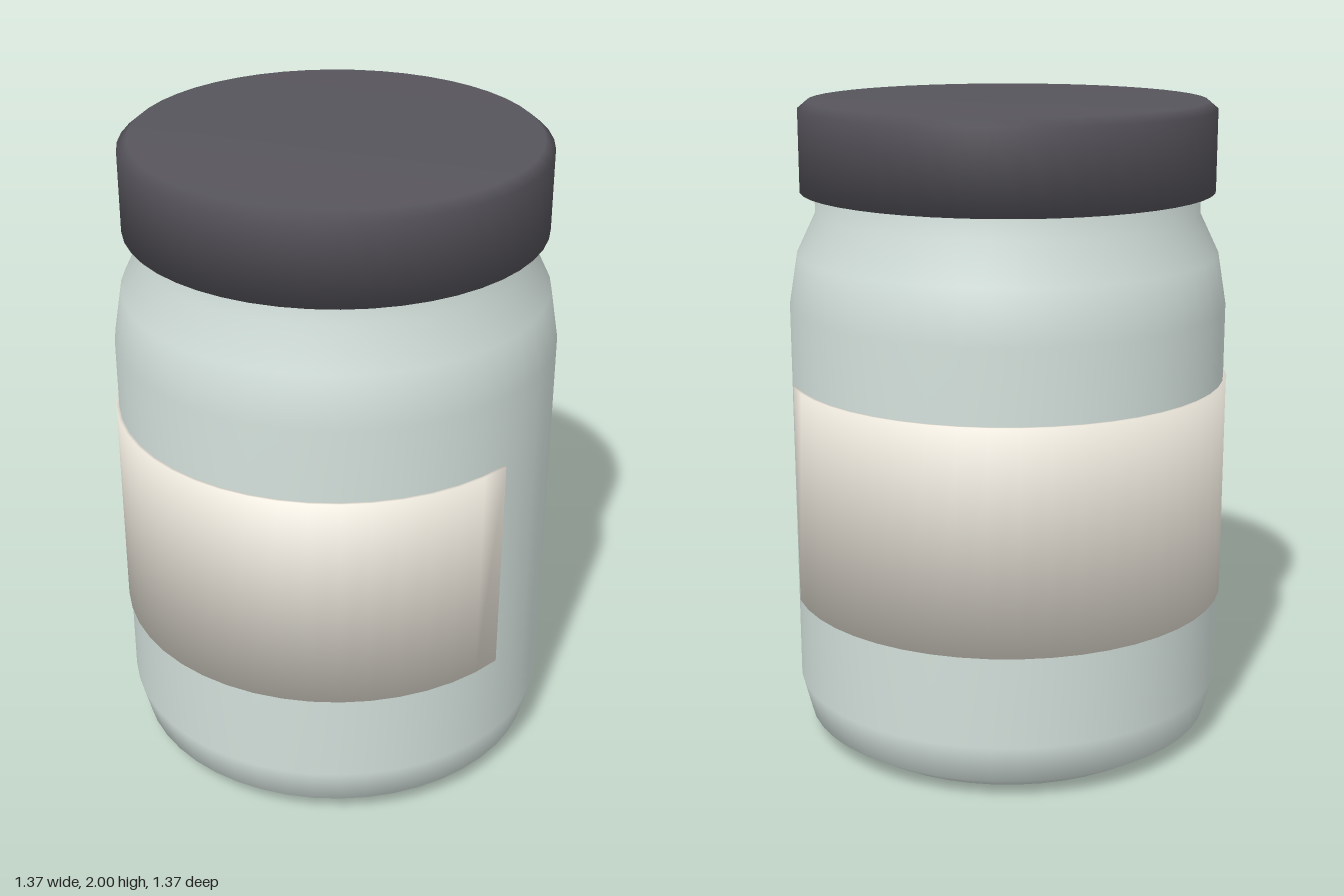
import * as THREE from 'three';

const SEGMENTS = 48;

function lathePart(name, profile, material) {
  const points = profile.map(([r, y]) => new THREE.Vector2(r, y));
  const mesh = new THREE.Mesh(new THREE.LatheGeometry(points, SEGMENTS), material);
  mesh.name = name;
  return mesh;
}

// Thin curved band with softened edges, swept around the y axis from angle a0 to a1
function bandGeometry(rIn, rOut, yLow, yHigh, a0, a1, steps) {
  const section = [[rIn, yLow, -1, -1], [rOut, yLow, 1, -1], [rOut, yHigh, 1, 1], [rIn, yHigh, -1, 1]];
  const positions = [], normals = [], index = [];
  const n = new THREE.Vector3();
  for (let i = 0; i <= steps; i++) {
    const a = a0 + (a1 - a0) * i / steps;
    const c = Math.cos(a), s = Math.sin(a);
    const end = i === 0 ? -1 : i === steps ? 1 : 0;
    for (const [r, y, out, up] of section) {
      positions.push(r * c, y, r * s);
      n.set(out * c - end * s, up, out * s + end * c).normalize();
      normals.push(n.x, n.y, n.z);
    }
    if (i === steps) break;
    for (let j = 0; j < 4; j++) {
      const p = i * 4 + j, q = i * 4 + (j + 1) % 4;
      index.push(p, q, p + 4, q, q + 4, p + 4);
    }
  }
  const e = steps * 4;
  index.push(0, 2, 1, 0, 3, 2, e, e + 1, e + 2, e, e + 2, e + 3);
  const geometry = new THREE.BufferGeometry();
  geometry.setAttribute('position', new THREE.Float32BufferAttribute(positions, 3));
  geometry.setAttribute('normal', new THREE.Float32BufferAttribute(normals, 3));
  geometry.setIndex(index);
  return geometry;
}

export function createModel() {
  const model = new THREE.Group();
  model.name = 'jar';
  const glass = new THREE.MeshStandardMaterial({ color: 0xd3e0db });
  const paper = new THREE.MeshStandardMaterial({ color: 0xe8e3d8 });
  const dark = new THREE.MeshStandardMaterial({ color: 0x57555c });

  // Jar body with bevelled base, straight wall, shoulder and neck
  model.add(lathePart('jarBody', [
    [0, 0], [0.55, 0], [0.645, 0.06], [0.675, 0.18], [0.675, 1.38],
    [0.648, 1.54], [0.59, 1.66], [0.59, 1.8],
  ], glass));

  // Screw lid with a small bevel around the top
  model.add(lathePart('lid', [
    [0, 1.73], [0.635, 1.73], [0.635, 1.975], [0.605, 2], [0, 2],
  ], dark));

  // Wrap-around label, open for a sixth of the way round at the front left
  const label = new THREE.Mesh(
    bandGeometry(0.672, 0.684, 0.465, 1.155, Math.PI / 3, Math.PI * 2, 40), paper);
  label.name = 'label';
  model.add(label);

  return model;
}
